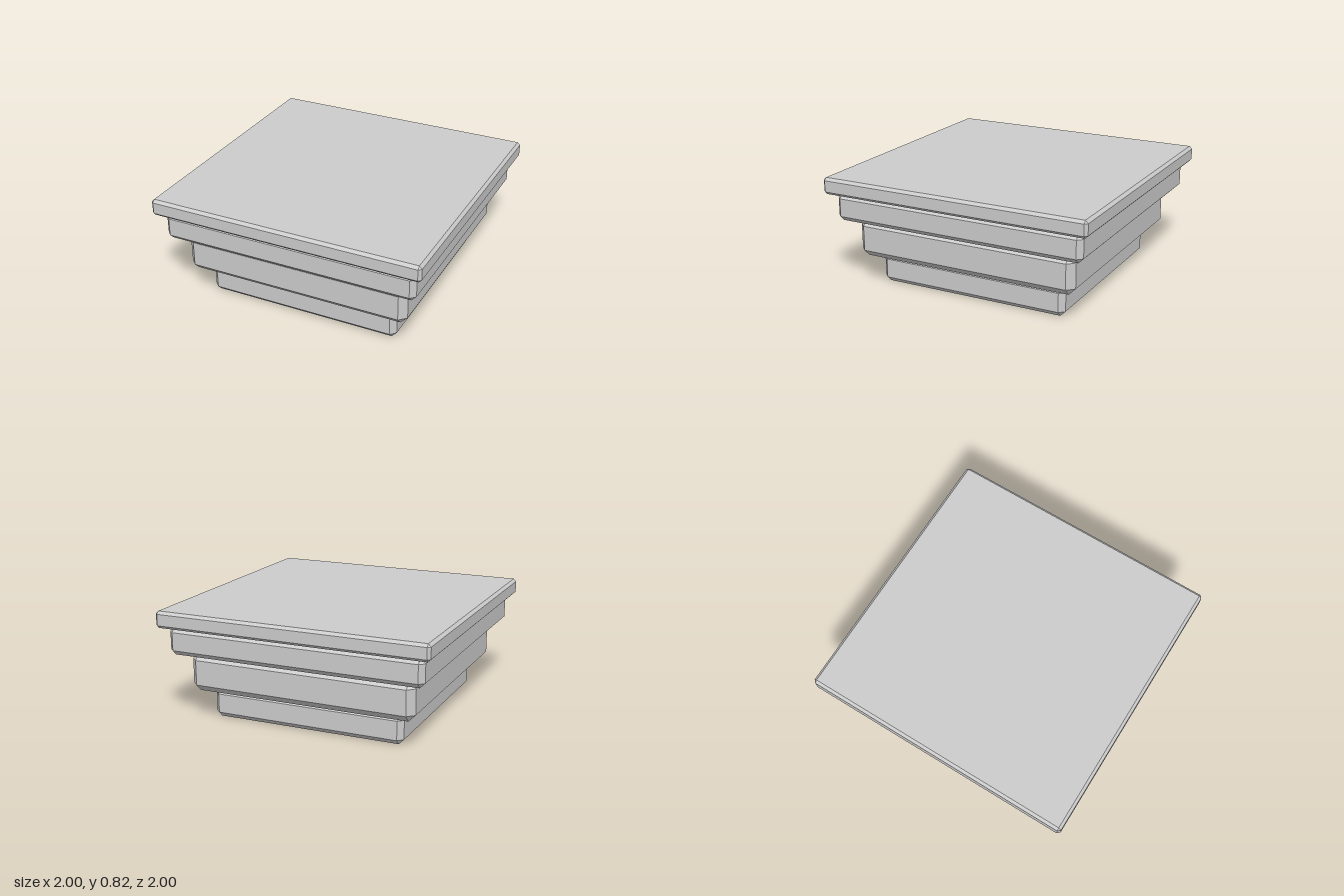
import * as THREE from 'three';
import { ConvexGeometry } from 'three/addons/geometries/ConvexGeometry.js';

// Square slab with every edge and corner cut by a flat chamfer
function chamferedSlab(half, height, bevel) {
  const h = height / 2;
  const points = [];
  for (const x of [-1, 1]) for (const y of [-1, 1]) for (const z of [-1, 1]) {
    const inner = [half - bevel, h - bevel, half - bevel];
    const outer = [half, h, half];
    for (let axis = 0; axis < 3; axis++) {
      const c = inner.map((v, i) => (i === axis ? outer[i] : v));
      points.push(new THREE.Vector3(x * c[0], y * c[1], z * c[2]));
    }
  }
  return new ConvexGeometry(points);
}

export function createModel() {
  const group = new THREE.Group();
  group.name = 'steppedCapital';
  const material = new THREE.MeshStandardMaterial({ color: 0xcccccc, flatShading: true });

  // Tiers from the base up, each wider than the one below
  const tiers = [
    { name: 'baseTier', half: 0.72, bottom: 0, top: 0.214, bevel: 0.038 },
    { name: 'lowerTier', half: 0.838, bottom: 0.214, top: 0.495, bevel: 0.05 },
    { name: 'upperTier', half: 0.94, bottom: 0.495, top: 0.697, bevel: 0.036 },
    { name: 'topSlab', half: 1, bottom: 0.697, top: 0.818, bevel: 0.02 },
  ];
  for (const { name, half, bottom, top, bevel } of tiers) {
    const mesh = new THREE.Mesh(chamferedSlab(half, top - bottom, bevel), material);
    mesh.name = name;
    mesh.position.y = (bottom + top) / 2;
    group.add(mesh);
  }
  return group;
}
